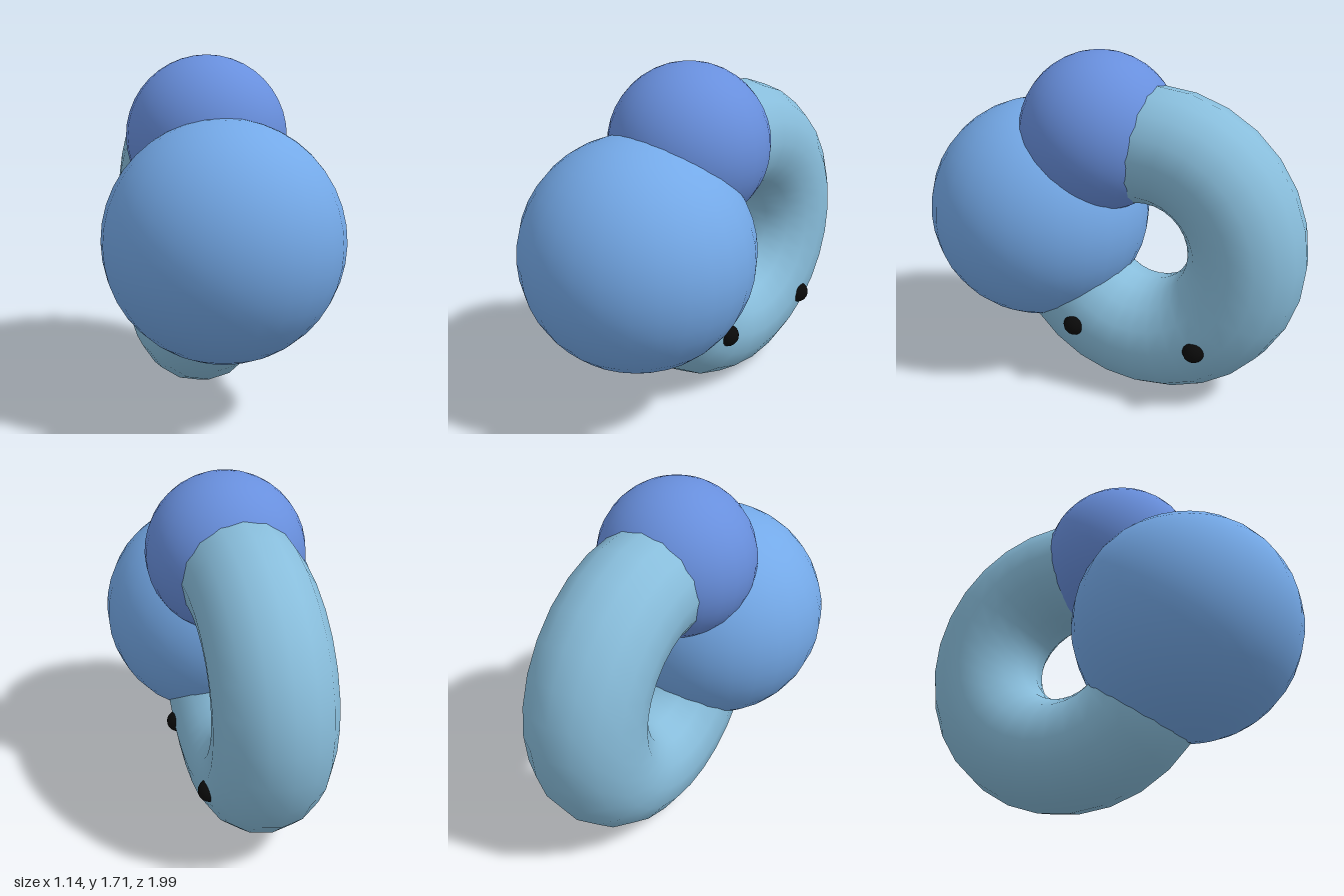
import * as THREE from 'three';

export function createModel() {
  const model = new THREE.Group();

  const add = (name, geometry, color, x, y, z) => {
    const mesh = new THREE.Mesh(geometry, new THREE.MeshStandardMaterial({ color }));
    mesh.name = name;
    mesh.position.set(x, y, z);
    model.add(mesh);
    return mesh;
  };

  // Two overlapping balls
  add('largeBall', new THREE.SphereGeometry(0.568, 28, 20), 0x74a9e8, 0, 0.858, 0.43);
  add('smallBall', new THREE.SphereGeometry(0.395, 28, 20), 0x688fdd, 0.025, 1.317, 0.075);

  // Upright ring, its hole facing sideways
  const ring = add('ring', new THREE.TorusGeometry(0.498, 0.287, 16, 28), 0x88bddb, 0.025, 0.79, -0.21);
  ring.rotation.y = Math.PI / 2;

  // Pair of eyes on the left face of the ring
  [['frontEye', 0.095], ['backEye', -0.545]].forEach(([name, z]) =>
    add(name, new THREE.SphereGeometry(0.055, 16, 12), 0x0a0a0a, 0.29, 0.372, z));

  return model;
}
